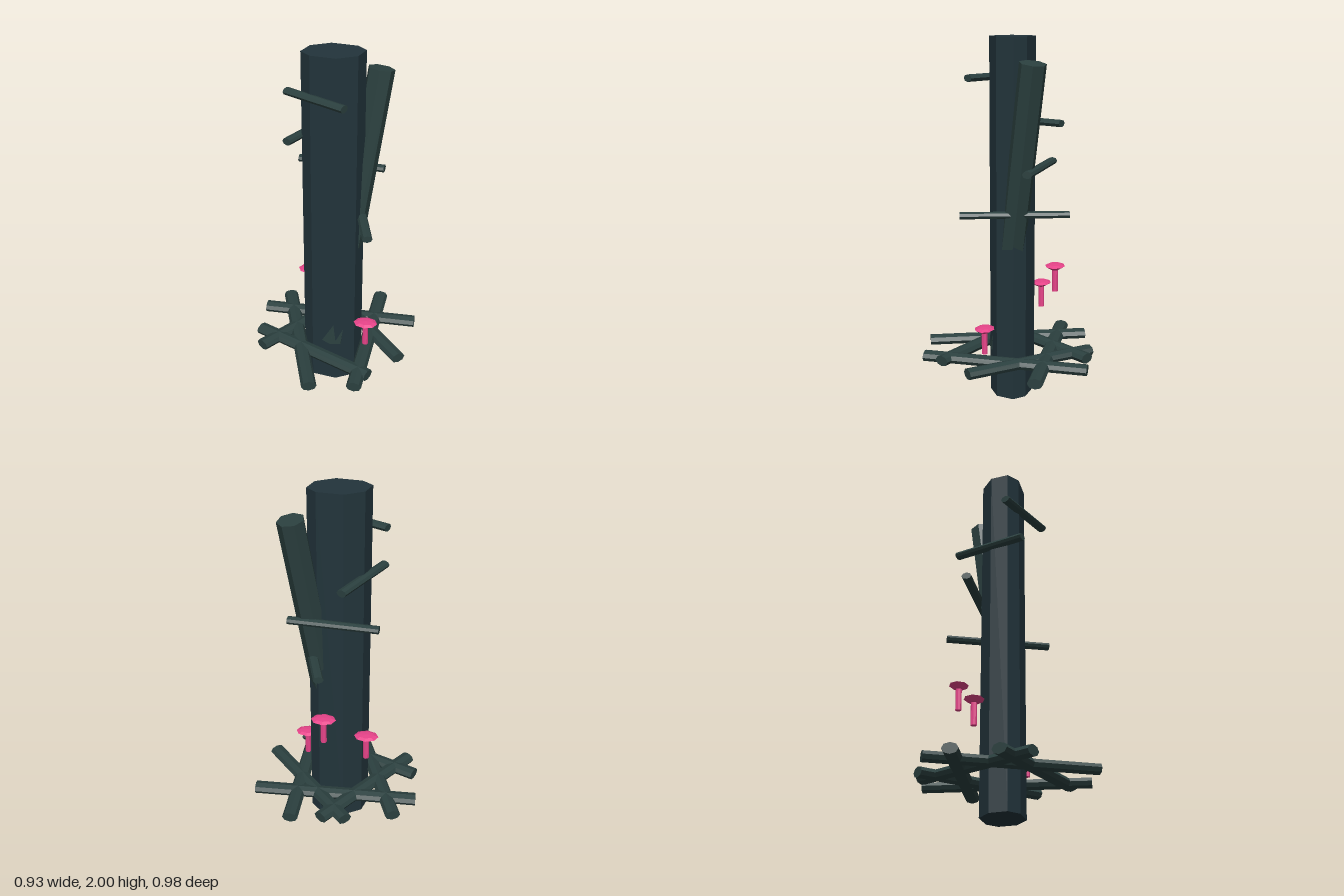
import * as THREE from 'three';

const mat = (color) => new THREE.MeshStandardMaterial({ color, flatShading: true });
const trunkMat = mat(0x22343b);
const woodMat = mat(0x2b403f);
const pinkMat = mat(0xe8448a);

function add(parent, name, geometry, material) {
  const mesh = new THREE.Mesh(geometry, material);
  mesh.name = name;
  parent.add(mesh);
  return mesh;
}

// Horizontal flattened eight-sided stick between two points in plan
function stick(parent, name, y, [x1, z1, x2, z2], halfWidth, halfHeight) {
  const dx = x2 - x1, dz = z2 - z1;
  const geo = new THREE.CylinderGeometry(1, 1, 1, 8);
  geo.rotateX(Math.PI / 2);
  geo.scale(halfWidth, halfHeight, Math.hypot(dx, dz));
  const mesh = add(parent, name, geo, woodMat);
  mesh.rotation.y = Math.atan2(dx, dz);
  mesh.position.set((x1 + x2) / 2, y, (z1 + z2) / 2);
}

// Stem with a shallow faceted cap
function mushroom(parent, x, y, z) {
  const group = new THREE.Group();
  group.name = 'mushroom';
  group.position.set(x, y, z);
  const stem = new THREE.CylinderGeometry(0.017, 0.017, 0.135, 8);
  stem.translate(0, 0.0675, 0);
  add(group, 'mushroomStem', stem, pinkMat);
  const profile = [[0, 0.122], [0.03, 0.125], [0.069, 0.145], [0.045, 0.154], [0, 0.157]];
  const cap = new THREE.LatheGeometry(profile.map(([r, h]) => new THREE.Vector2(r, h)), 8);
  cap.scale(1, 1, 0.8);
  add(group, 'mushroomCap', cap, pinkMat);
  parent.add(group);
}

export function createModel() {
  const model = new THREE.Group();
  model.name = 'deadTree';

  // Trunk: oval eight-sided prism, outline given as (x, z)
  const outline = [
    [0.14, 0.03], [0.04, 0.092], [-0.1, 0.074], [-0.16, 0.016],
    [-0.134, -0.084], [-0.034, -0.146], [0.108, -0.128], [0.165, -0.07],
  ];
  const shape = new THREE.Shape(outline.map(([x, z]) => new THREE.Vector2(x, -z)));
  const trunk = new THREE.ExtrudeGeometry(shape, { depth: 2, bevelEnabled: false });
  trunk.rotateX(-Math.PI / 2);
  add(model, 'trunk', trunk, trunkMat);

  // Leaning limb that runs through the trunk
  const foot = new THREE.Vector3(0.01, 0.25, 0.035);
  const tip = new THREE.Vector3(0.225, 1.87, -0.185);
  const axis = tip.clone().sub(foot);
  const limb = add(model, 'leaningLimb',
    new THREE.CylinderGeometry(0.073, 0.073, axis.length(), 7), woodMat);
  limb.position.copy(foot).add(tip).multiplyScalar(0.5);
  limb.quaternion.setFromUnitVectors(new THREE.Vector3(0, 1, 0), axis.normalize());

  // Crossed sticks round the base
  const baseSticks = [
    [-0.463, -0.228, 0.46, -0.255],
    [0.213, -0.493, 0.213, 0.43],
    [-0.35, -0.388, -0.03, 0.475],
    [-0.435, 0.005, 0.272, 0.313],
    [-0.385, 0.165, 0.046, -0.466],
    [-0.09, -0.46, 0.417, 0.122],
  ];
  for (const ends of baseSticks) stick(model, 'baseStick', 0.236, ends, 0.043, 0.03);

  // Twigs up the trunk
  const twigs = [
    [1.06, [0.065, -0.357, 0.235, 0.21]],
    [1.3, [-0.23, -0.205, 0.26, -0.165]],
    [1.535, [-0.045, -0.288, -0.22, 0.105]],
    [1.78, [-0.24, 0.01, 0.103, 0.195]],
  ];
  for (const [y, ends] of twigs) stick(model, 'twig', y, ends, 0.028, 0.02);

  // Mushrooms
  mushroom(model, 0.214, 0.28, 0.08);
  mushroom(model, -0.167, 0.45, -0.16);
  mushroom(model, 0.054, 0.62, -0.28);

  return model;
}
